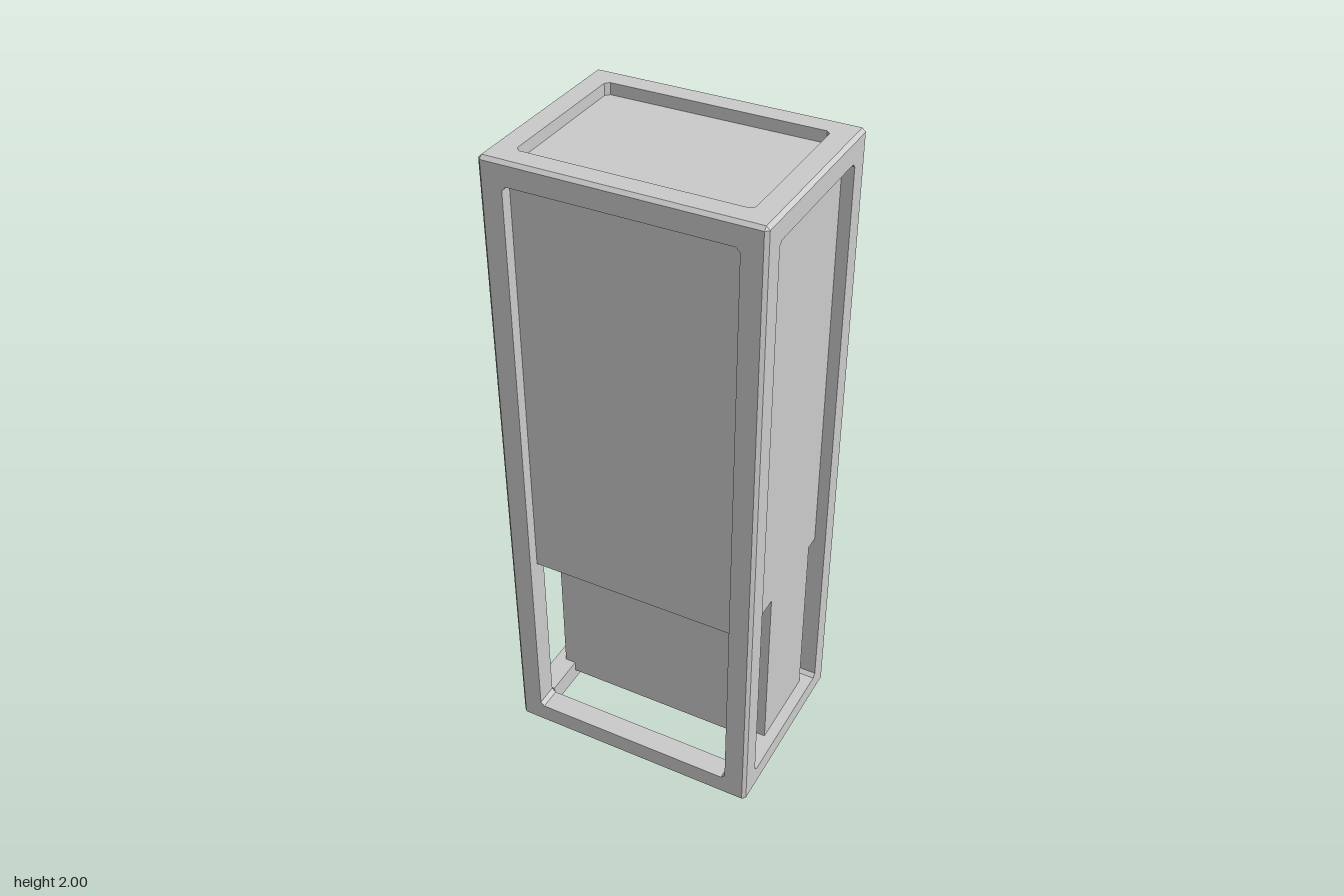
import * as THREE from 'three';

const W = 0.4, H = 1, D = 0.3;      // half sizes of the frame
const BAR = 0.07, CH = 0.01;        // bar thickness, edge chamfer
const INSET = 0.035;                // panel recess

const material = new THREE.MeshStandardMaterial({ color: 0xcccccc, flatShading: true });

function addMesh(parent, name, geometry, x, y, z) {
  const mesh = new THREE.Mesh(geometry, material);
  mesh.name = name;
  mesh.position.set(x, y, z);
  parent.add(mesh);
  return mesh;
}

// Rectangular ring with clipped inner corners; its outer face lies at z = 0
function ringGeometry(w, h) {
  const shape = new THREE.Shape();
  const a = w - CH, b = h - CH;
  shape.moveTo(-a, -b).lineTo(a, -b).lineTo(a, b).lineTo(-a, b).closePath();
  const p = w - BAR, q = h - BAR, c = 0.012;
  const hole = new THREE.Path();
  hole.moveTo(-p + c, -q).lineTo(-p, -q + c).lineTo(-p, q - c).lineTo(-p + c, q);
  hole.lineTo(p - c, q).lineTo(p, q - c).lineTo(p, -q + c).lineTo(p - c, -q).closePath();
  shape.holes.push(hole);
  return new THREE.ExtrudeGeometry(shape, { depth: BAR, bevelEnabled: false }).translate(0, 0, -BAR);
}

function createFrame() {
  const frame = new THREE.Group();
  frame.name = 'frame';
  frame.position.y = H;

  // One ring for each of the six sides
  const wide = ringGeometry(W, H), narrow = ringGeometry(D, H), flat = ringGeometry(W, D);
  addMesh(frame, 'frontRing', wide, 0, 0, D);
  addMesh(frame, 'backRing', wide, 0, 0, -D).rotation.y = Math.PI;
  addMesh(frame, 'leftRing', narrow, W, 0, 0).rotation.y = Math.PI / 2;
  addMesh(frame, 'rightRing', narrow, -W, 0, 0).rotation.y = -Math.PI / 2;
  addMesh(frame, 'topRing', flat, 0, H, 0).rotation.x = -Math.PI / 2;
  addMesh(frame, 'bottomRing', flat, 0, -H, 0).rotation.x = Math.PI / 2;

  // Diamond-section strips form the chamfered edges, octahedra the corners
  const x = W - CH, y = H - CH, z = D - CH;
  const strip = (length) => new THREE.CylinderGeometry(CH, CH, 2 * length, 4, 1, true);
  const upright = strip(y), across = strip(x), deep = strip(z);
  const corner = new THREE.OctahedronGeometry(CH);
  for (const s of [-1, 1]) {
    for (const t of [-1, 1]) {
      addMesh(frame, 'uprightEdge', upright, s * x, 0, t * z);
      addMesh(frame, 'crossEdge', across, 0, s * y, t * z).rotation.z = Math.PI / 2;
      addMesh(frame, 'sideEdge', deep, s * x, t * y, 0).rotation.x = Math.PI / 2;
      for (const u of [-1, 1]) addMesh(frame, 'corner', corner, s * x, t * y, u * z);
    }
  }
  return frame;
}

// Box between two heights and two depths, as wide as the recessed panels
function block(parent, name, y0, y1, z0, z1) {
  const geometry = new THREE.BoxGeometry(2 * (W - INSET), y1 - y0, z1 - z0);
  addMesh(parent, name, geometry, 0, (y0 + y1) / 2, (z0 + z1) / 2);
}

export function createModel() {
  const model = new THREE.Group();
  model.name = 'framedTower';
  model.add(createFrame());
  block(model, 'upperVolume', 0.65, 2 * H - INSET, -D + INSET, D - INSET);
  block(model, 'lowerCore', INSET, 0.65, -0.185, 0.085);
  return model;
}
